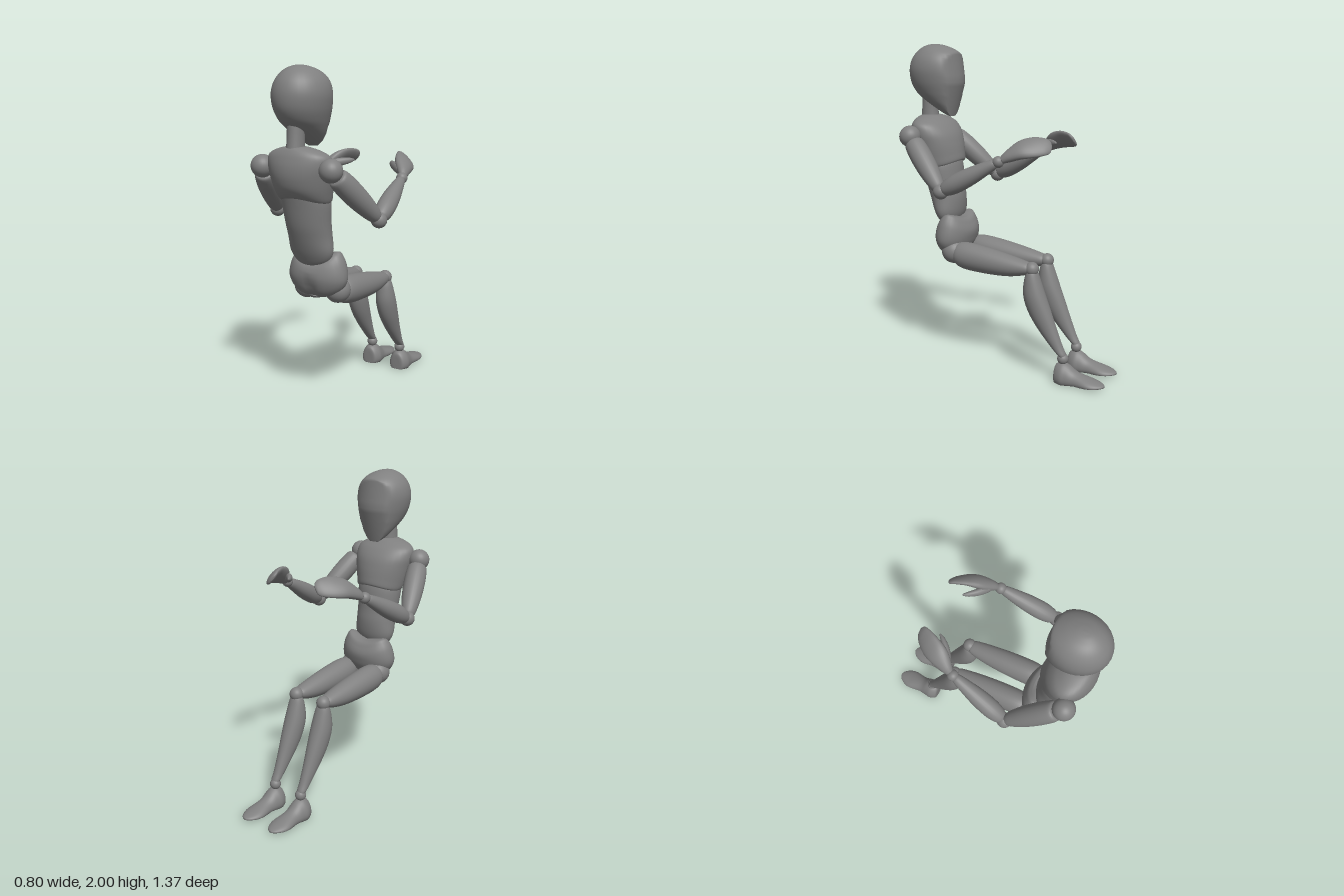
import * as THREE from 'three';

const material = new THREE.MeshStandardMaterial({ color: 0x808080 });
const V = (x, y, z) => new THREE.Vector3(x, y, z);

// Catmull-Rom smoothing of every column of a table of sections
function smooth(rows, steps = 5) {
  const out = [];
  const at = i => rows[Math.max(0, Math.min(rows.length - 1, i))];
  for (let i = 0; i < rows.length - 1; i++) {
    for (let k = 0; k < steps; k++) {
      const t = k / steps;
      out.push(rows[i].map((b, j) => {
        const a = at(i - 1)[j], c = at(i + 1)[j], d = at(i + 2)[j];
        return b + 0.5 * t * (c - a + t * (2 * a - 5 * b + 4 * c - d + t * (3 * (b - c) + d - a)));
      }));
    }
  }
  out.push(rows[rows.length - 1]);
  return out;
}

// Closed skin over elliptical rings {c, u, v}; warp moves each point by a rule
function loft(name, rings, warp, n = 32) {
  const pos = [], idx = [];
  const add = p => { if (warp) warp(p); pos.push(p.x, p.y, p.z); };
  for (const { c, u, v } of rings) {
    for (let i = 0; i < n; i++) {
      const a = i / n * Math.PI * 2;
      add(c.clone().addScaledVector(u, Math.cos(a)).addScaledVector(v, Math.sin(a)));
    }
  }
  const last = rings.length - 1, base = rings.length * n;
  add(rings[0].c.clone());
  add(rings[last].c.clone());
  for (let i = 0; i < n; i++) {
    const j = (i + 1) % n;
    for (let r = 0; r < last; r++) {
      const a = r * n + i, b = r * n + j;
      idx.push(a, b, b + n, a, b + n, a + n);
    }
    idx.push(base, j, i, base + 1, last * n + i, last * n + j);
  }
  // faces point outward when the rings turn with the direction of travel
  const { u, v } = rings[last >> 1];
  const travel = rings[last].c.clone().sub(rings[0].c);
  if (u.clone().cross(v).dot(travel) < 0) {
    for (let k = 0; k < idx.length; k += 3) [idx[k], idx[k + 1]] = [idx[k + 1], idx[k]];
  }
  const geo = new THREE.BufferGeometry();
  geo.setAttribute('position', new THREE.Float32BufferAttribute(pos, 3));
  geo.setIndex(idx);
  geo.computeVertexNormals();
  const mesh = new THREE.Mesh(geo, material);
  mesh.name = name;
  return mesh;
}

// Horizontal sections: [y, front z, back z, half width]
const stack = (name, x, rows, warp) => loft(name, smooth(rows).map(([y, f, b, w]) =>
  ({ c: V(x, y, (f + b) / 2), u: V(w, 0, 0), v: V(0, 0, (b - f) / 2) })), warp);

// Upright sections along z: [z, bottom y, top y, half width]
const run = (name, x, rows, warp) => loft(name, smooth(rows).map(([z, lo, hi, w]) =>
  ({ c: V(x, (lo + hi) / 2, z), u: V(w, 0, 0), v: V(0, (hi - lo) / 2, 0) })), warp);

// Sections along a path: [x, y, z, half width along side, half thickness]
function along(name, rows, side) {
  const s = smooth(rows);
  return loft(name, s.map((r, i) => {
    const p = s[Math.max(0, i - 1)], q = s[Math.min(s.length - 1, i + 1)];
    const t = V(q[0] - p[0], q[1] - p[1], q[2] - p[2]).normalize();
    const u = side.clone().addScaledVector(t, -side.dot(t)).normalize();
    return { c: V(r[0], r[1], r[2]), v: t.clone().cross(u).multiplyScalar(r[4]), u: u.multiplyScalar(r[3]) };
  }), null, 24);
}

// Straight round limb from a to b with [t, radius] profile
const limb = (name, a, b, profile) => along(name, profile.map(([t, r]) => {
  const p = a.clone().lerp(b, t);
  return [p.x, p.y, p.z, r, r];
}), V(1, 0, 0));

function ball(name, p, r) {
  const mesh = new THREE.Mesh(new THREE.SphereGeometry(r, 28, 20), material);
  mesh.position.copy(p);
  mesh.name = name;
  return mesh;
}

function makeArm(s) {
  const g = new THREE.Group();
  g.name = s > 0 ? 'armPlusX' : 'armMinusX';
  g.position.x = 0.003;
  const shoulder = V(s * 0.231, 1.447, 0.567), elbow = V(s * 0.356, 1.15, 0.275), wrist = V(s * 0.303, 1.343, -0.08);
  g.add(ball('shoulderJoint', shoulder, 0.066), ball('elbowJoint', elbow, 0.046), ball('wristJoint', wrist, 0.034));
  g.add(limb('upperArm', shoulder, elbow, [[0.12, 0.045], [0.16, 0.06], [0.35, 0.066], [0.6, 0.062], [0.82, 0.05], [0.93, 0.038], [0.96, 0.025]]));
  g.add(limb('forearm', elbow, wrist, [[0.04, 0.025], [0.08, 0.042], [0.25, 0.055], [0.5, 0.053], [0.75, 0.041], [0.92, 0.03], [0.97, 0.02]]));
  // cupped hand with the fingers joined and a separate thumb
  g.add(along('palmAndFingers', [
    [s * 0.3, 1.352, -0.1, 0.022, 0.018], [s * 0.283, 1.375, -0.135, 0.04, 0.03],
    [s * 0.253, 1.412, -0.2, 0.066, 0.034], [s * 0.226, 1.428, -0.26, 0.07, 0.026],
    [s * 0.195, 1.432, -0.312, 0.06, 0.019], [s * 0.172, 1.432, -0.34, 0.042, 0.013],
    [s * 0.164, 1.431, -0.35, 0.016, 0.006]], V(-s * 0.72, 0.7, 0)));
  g.add(along('thumb', [
    [s * 0.285, 1.365, -0.12, 0.014, 0.014], [s * 0.25, 1.385, -0.142, 0.03, 0.024],
    [s * 0.198, 1.4, -0.175, 0.026, 0.02], [s * 0.157, 1.408, -0.217, 0.018, 0.014],
    [s * 0.137, 1.412, -0.245, 0.006, 0.005]], V(0, 1, 0)));
  return g;
}

function makeLeg(s) {
  const g = new THREE.Group(), x = s * 0.108;
  g.name = s > 0 ? 'legPlusX' : 'legMinusX';
  g.position.x = 0.013;
  g.add(ball('hipJoint', V(x, 0.725, 0.335), 0.076), ball('kneeJoint', V(s * 0.11, 0.68, -0.21), 0.043));
  g.add(ball('ankleJoint', V(s * 0.106, 0.145, -0.418), 0.034));
  g.add(run('thigh', x, [[0.31, 0.66, 0.76, 0.05], [0.29, 0.635, 0.785, 0.072], [0.22, 0.618, 0.79, 0.08],
    [0.08, 0.611, 0.772, 0.077], [-0.05, 0.614, 0.748, 0.067], [-0.15, 0.632, 0.726, 0.053],
    [-0.19, 0.648, 0.714, 0.042], [-0.2, 0.665, 0.7, 0.025]]));
  g.add(stack('lowerLeg', x, [[0.155, -0.43, -0.4, 0.018], [0.17, -0.438, -0.385, 0.029], [0.22, -0.415, -0.335, 0.034],
    [0.32, -0.375, -0.25, 0.046], [0.42, -0.337, -0.187, 0.058], [0.52, -0.298, -0.157, 0.063],
    [0.61, -0.265, -0.163, 0.053], [0.66, -0.246, -0.178, 0.04], [0.675, -0.235, -0.19, 0.025]]));
  // flat-soled foot, narrower towards the ankle
  g.add(run('foot', x, [[-0.373, 0, 0.08, 0.025], [-0.38, -0.025, 0.11, 0.052], [-0.42, -0.035, 0.126, 0.07],
    [-0.46, -0.035, 0.112, 0.064], [-0.51, -0.025, 0.078, 0.057], [-0.59, -0.015, 0.053, 0.066],
    [-0.635, -0.008, 0.041, 0.056], [-0.67, 0.005, 0.03, 0.033], [-0.685, 0.01, 0.023, 0.01]], p => {
    p.y = Math.max(p.y, p.z < -0.45 ? Math.min(0.012, (-0.45 - p.z) * 0.06) : 0);
    p.x = x + (p.x - x) * (1 - 1.8 * Math.max(0, p.y - 0.02));
  }));
  return g;
}

export function createModel() {
  const model = new THREE.Group();
  model.name = 'seatedMannequin';
  const body = new THREE.Group();
  body.name = 'body';
  body.position.x = 0.004;
  // head with a flattened, gently curved face
  body.add(stack('head', 0, [[1.56, 0.36, 0.425, 0.03], [1.59, 0.35, 0.475, 0.066], [1.63, 0.335, 0.54, 0.094],
    [1.67, 0.325, 0.6, 0.115], [1.71, 0.318, 0.645, 0.132], [1.77, 0.313, 0.677, 0.151], [1.84, 0.315, 0.685, 0.16],
    [1.9, 0.325, 0.672, 0.149], [1.945, 0.355, 0.644, 0.122], [1.977, 0.412, 0.606, 0.084], [1.995, 0.47, 0.565, 0.038],
    [2, 0.51, 0.53, 0.005]], p => {
    const face = 0.343 + 2.5 * p.x * p.x + 0.27 * Math.max(0, 1.76 - p.y) + 0.12 * Math.max(0, p.y - 1.8);
    p.z = Math.max(p.z, face);
  }));
  body.add(stack('neck', 0, [[1.5, 0.5, 0.63, 0.052], [1.56, 0.51, 0.622, 0.049], [1.64, 0.51, 0.615, 0.047], [1.74, 0.505, 0.61, 0.047]]));
  // rib cage, its lower rim arched upward in the middle
  body.add(stack('chest', 0, [[1.255, 0.37, 0.58, 0.12], [1.26, 0.342, 0.605, 0.15], [1.32, 0.345, 0.642, 0.17],
    [1.4, 0.358, 0.66, 0.19], [1.46, 0.38, 0.66, 0.201], [1.51, 0.418, 0.648, 0.195], [1.54, 0.457, 0.635, 0.155],
    [1.56, 0.49, 0.62, 0.09], [1.567, 0.52, 0.6, 0.05]], p => {
    const k = THREE.MathUtils.clamp((1.4 - p.y) / 0.14, 0, 1);
    p.y += k * (0.03 - 1.6 * p.x * p.x);
  }));
  body.add(stack('abdomen', 0, [[0.875, 0.4, 0.45, 0.04], [0.89, 0.375, 0.468, 0.085], [0.92, 0.355, 0.486, 0.12],
    [0.97, 0.34, 0.51, 0.139], [1.05, 0.335, 0.54, 0.137], [1.13, 0.345, 0.565, 0.14], [1.25, 0.357, 0.588, 0.15],
    [1.31, 0.375, 0.6, 0.14]]));
  // pelvis whose upper rim rises toward the hips, with a shallow cleft low at the back
  body.add(stack('pelvis', 0.008, [[0.685, 0.36, 0.4, 0.04], [0.695, 0.335, 0.43, 0.09], [0.715, 0.305, 0.455, 0.135],
    [0.755, 0.275, 0.475, 0.175], [0.805, 0.26, 0.486, 0.192], [0.86, 0.256, 0.482, 0.18], [0.91, 0.268, 0.465, 0.157],
    [0.945, 0.288, 0.43, 0.135], [0.96, 0.315, 0.39, 0.1]], p => {
    const rim = THREE.MathUtils.clamp((p.y - 0.8) / 0.12, 0, 1);
    const cleft = THREE.MathUtils.clamp((0.86 - p.y) / 0.1, 0, 1) * Math.exp(-(((p.x - 0.008) / 0.035) ** 2));
    p.y += rim * (2.4 * p.x * p.x - 0.035);
    if (p.z > 0.42) p.z -= 0.018 * cleft;
  }));
  model.add(body);
  for (const s of [-1, 1]) model.add(makeArm(s), makeLeg(s));
  return model;
}
